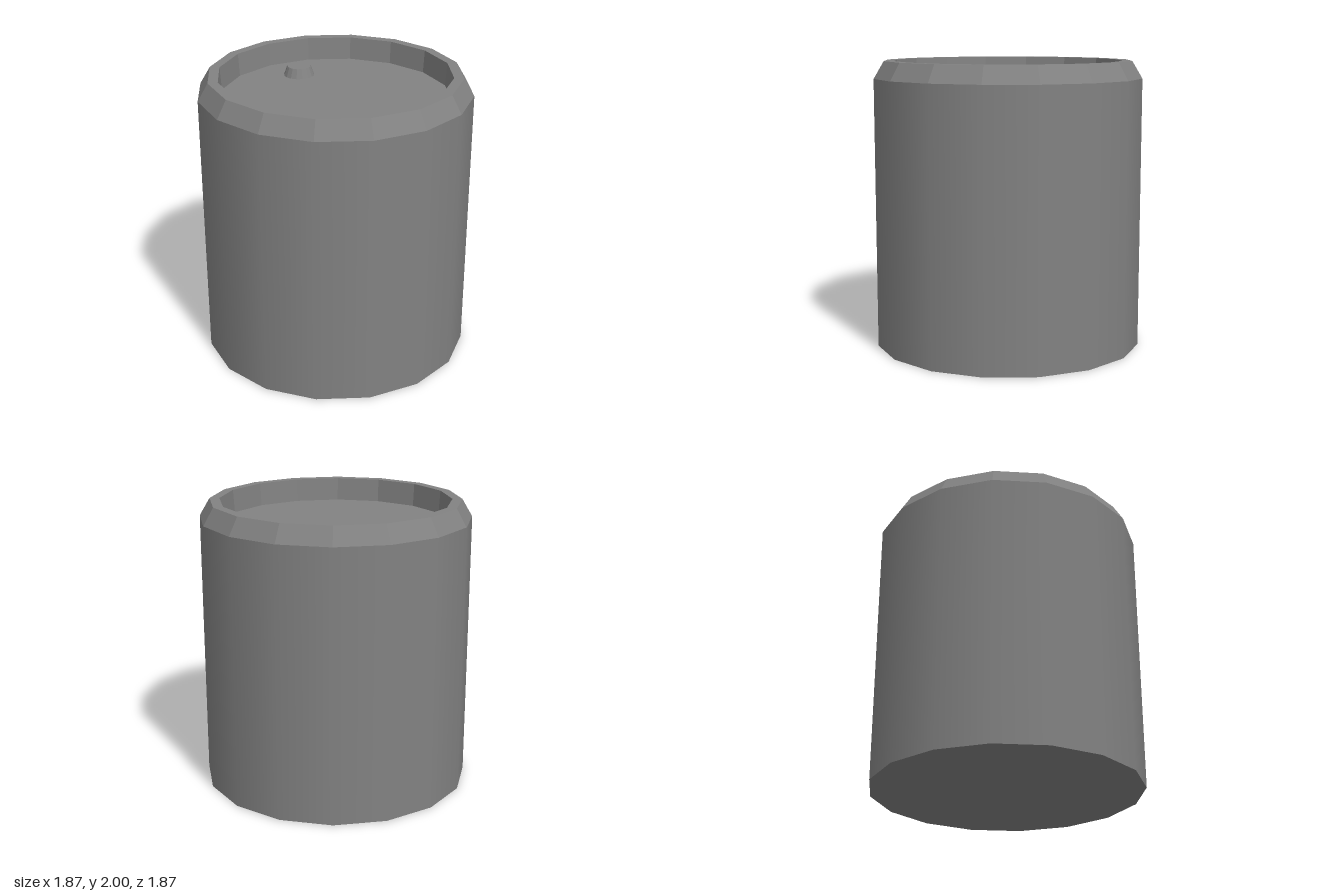
import * as THREE from 'three';
import { mergeVertices } from 'three/addons/utils/BufferGeometryUtils.js';

const SIDES = 16;
const smooth = new THREE.MeshStandardMaterial({ color: 0x828282 });
const flat = new THREE.MeshStandardMaterial({ color: 0x828282, flatShading: true });

export function createModel() {
  const group = new THREE.Group();
  const add = (name, geometry, material, x = 0, y = 0, z = 0) => {
    const mesh = new THREE.Mesh(geometry, material);
    mesh.name = name;
    mesh.position.set(x, y, z);
    group.add(mesh);
  };

  const radius = 0.937, shoulderY = 1.88, floorY = 1.84, floorRadius = 0.787;

  // Smooth drum wall, welded so it has no seam
  const wall = new THREE.CylinderGeometry(radius, radius, shoulderY, SIDES, 1, true);
  wall.deleteAttribute('uv');
  add('bodyWall', mergeVertices(wall), smooth, 0, shoulderY / 2);

  // Flat underside
  add('base', new THREE.CircleGeometry(radius, SIDES).rotateX(Math.PI / 2), flat);

  // Faceted shoulder, level rim, slightly drafted recess wall and its floor
  const profile = [
    [radius, shoulderY], [0.866, 2], [0.798, 2], [floorRadius, floorY],
  ].map(([r, y]) => new THREE.Vector2(r, y));
  add('rim', new THREE.LatheGeometry(profile, SIDES), flat);
  add('lid', new THREE.CircleGeometry(floorRadius, SIDES).rotateX(-Math.PI / 2), flat, 0, floorY);

  // Tapered filler cap at the back right of the lid
  const capHeight = 0.066;
  add('cap', new THREE.CylinderGeometry(0.084, 0.108, capHeight, SIDES), flat, -0.315, floorY + capHeight / 2, -0.388);

  return group;
}
